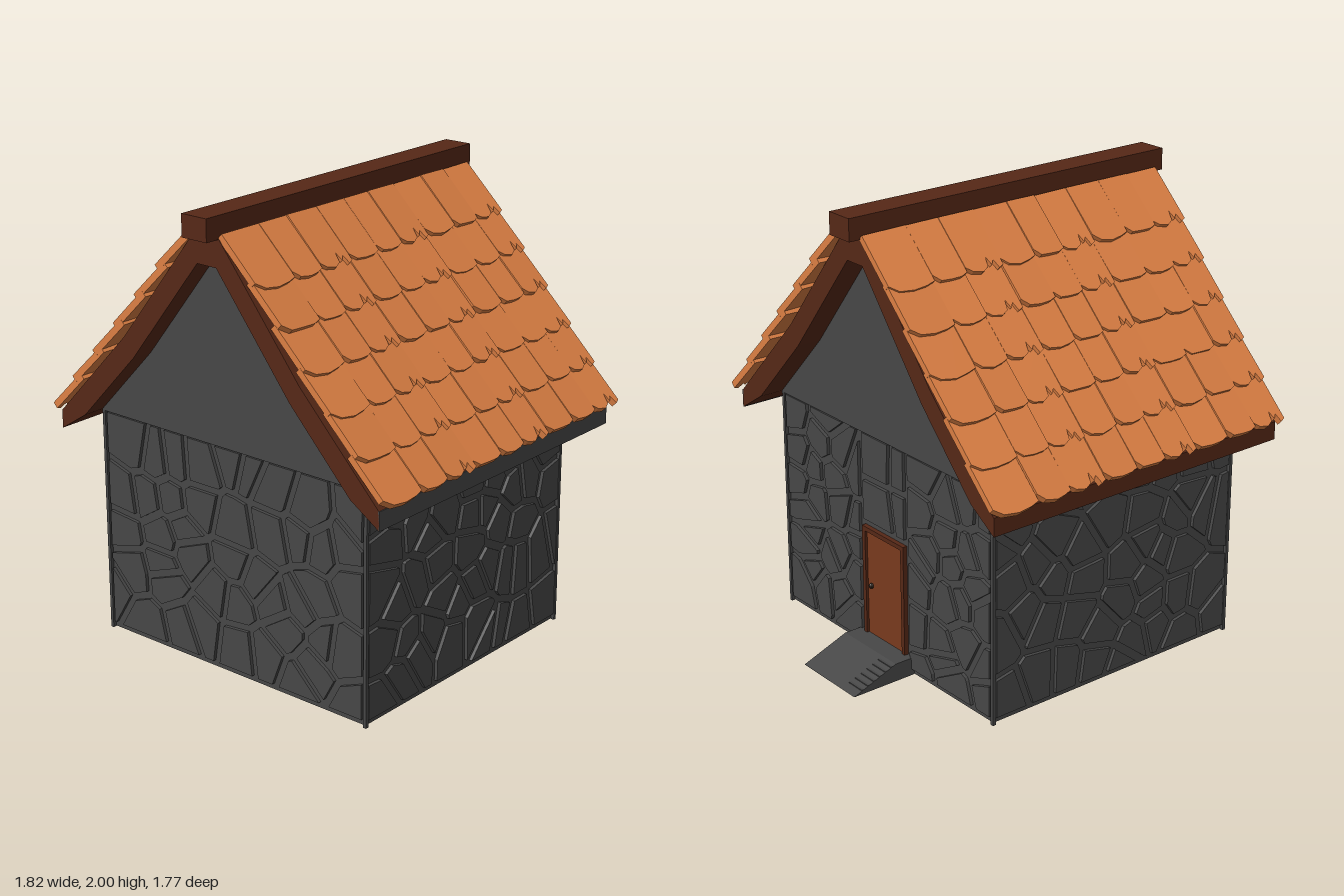
import * as THREE from 'three';
import { mergeGeometries } from 'three/addons/utils/BufferGeometryUtils.js';

const mat = (color) => new THREE.MeshStandardMaterial({ color, flatShading: true });
const STONE = mat(0x474747), WOOD = mat(0x562817), TILE = mat(0xdd8044), DOOR = mat(0x7a3a1e), IRON = mat(0x2a2018);

// small seeded random
let state = 7;
const rand = () => (state = (state * 16807) % 2147483647) / 2147483647;

const shapeOf = (pts) => new THREE.Shape(pts.map(([x, y]) => new THREE.Vector2(x, y)));
const extrude = (pts, depth) => new THREE.ExtrudeGeometry(shapeOf(pts), { depth, bevelEnabled: false });
const mirrored = (half) => [...half, ...half.map(([x, y]) => [-x, y]).reverse()];

function add(parent, name, geometry, material, x = 0, y = 0, z = 0) {
  const m = new THREE.Mesh(geometry, material);
  m.name = name;
  m.position.set(x, y, z);
  parent.add(m);
  return m;
}

// box given by its two extreme corners
const block = (parent, name, material, a, b) => add(parent, name,
  new THREE.BoxGeometry(b[0] - a[0], b[1] - a[1], b[2] - a[2]), material,
  (a[0] + b[0]) / 2, (a[1] + b[1]) / 2, (a[2] + b[2]) / 2);

// keep the part of a polygon where (p - o) . n <= 0
function clip(poly, ox, oy, nx, ny) {
  const out = [];
  poly.forEach((p, i) => {
    const q = poly[(i + 1) % poly.length];
    const dp = (p[0] - ox) * nx + (p[1] - oy) * ny, dq = (q[0] - ox) * nx + (q[1] - oy) * ny;
    if (dp <= 0) out.push(p);
    if ((dp < 0 && dq > 0) || (dp > 0 && dq < 0)) {
      const t = dp / (dp - dq);
      out.push([p[0] + (q[0] - p[0]) * t, p[1] + (q[1] - p[1]) * t]);
    }
  });
  return out;
}

// irregular raised stones filling a rectangle, separated by grooves
function stones(x0, y0, x1, y1, nx, ny) {
  const gap = 0.034, seeds = [], geos = [];
  const w = (x1 - x0) / nx, h = (y1 - y0) / ny;
  for (let j = 0; j < ny; j++) for (let i = 0; i < nx; i++) {
    seeds.push([x0 + (i + 0.5 + (rand() - 0.5) * 1.1) * w, y0 + (j + 0.5 + (rand() - 0.5) * 0.9) * h]);
  }
  for (const s of seeds) {
    let cell = [[x0, y0], [x1, y0], [x1, y1], [x0, y1]];
    for (const o of seeds) {
      if (o === s) continue;
      const dx = o[0] - s[0], dy = o[1] - s[1], d = Math.hypot(dx, dy), k = 0.5 - gap / 2 / d;
      cell = clip(cell, s[0] + dx * k, s[1] + dy * k, dx / d, dy / d);
    }
    if (cell.length > 2) geos.push(extrude(cell, 0.016));
  }
  return geos;
}

function stoneWall(parent, name, geos, x, z, turn) {
  add(parent, name, mergeGeometries(geos), STONE, x, 0, z).rotation.y = turn;
}

// one side of the roof covering, built for +x
function tileSide(name) {
  const seams = [0, 0.17, 0.33, 0.51, 0.68, 0.83, 1.0, 1.18, 1.34, 1.55];
  const rows = 6, first = 0.275, step = 0.191, geos = [];
  for (let r = 0; r < rows; r++) for (let c = 0; c < seams.length - 1; c++) {
    const w = seams[c + 1] - seams[c] - 0.002, l = r ? step + 0.06 : first, skew = (rand() - 0.5) * 0.012;
    // every third tile has a chipped lower edge
    const edge = c % 3 === 0
      ? [[w, l - 0.035], [w * 0.85, l - 0.01], [w * 0.6, l], [w * 0.42, l - 0.015], [w * 0.36, l - 0.06],
        [w * 0.3, l - 0.02], [w * 0.2, l - 0.04], [w * 0.14, l], [0, l - 0.01]]
      : [[w, l - 0.04], [w * 0.82, l - 0.008], [w * 0.5, l + skew], [w * 0.2, l - 0.004], [0, l - 0.015]];
    const g = extrude([[0, 0], [w, 0], ...edge], 0.03);
    g.rotateY((rand() - 0.5) * 0.06);
    g.rotateX(0.07 + rand() * 0.02);
    g.translate(seams[c] - 0.73, first + r * step - l, 0);
    geos.push(g);
  }
  const a = Math.atan2(0.93, 0.82);
  const place = new THREE.Matrix4().makeBasis(
    new THREE.Vector3(0, 0, 1),
    new THREE.Vector3(Math.cos(a), -Math.sin(a), 0),
    new THREE.Vector3(Math.sin(a), Math.cos(a), 0)).setPosition(0.06, 1.908, 0);
  const side = new THREE.Mesh(mergeGeometries(geos).applyMatrix4(place), TILE);
  side.name = name;
  return side;
}

export function createModel() {
  const house = new THREE.Group();
  house.name = 'stoneHouse';

  // wall core and plain gables
  block(house, 'wallCore', STONE, [-0.705, 0.003, -0.575], [0.705, 1.01, 0.705]);
  add(house, 'gables', extrude(mirrored([[0.72, 1.005], [0.72, 1.01], [0.42, 1.325], [0.05, 1.79]]), 1.31),
    STONE, 0, 0, -0.59);

  // stonework on the four walls
  stoneWall(house, 'frontStones', stones(-0.695, 0.03, 0.695, 1.0, 9, 5), 0, 0.704, 0);
  stoneWall(house, 'leftStones', stones(-0.635, 0.03, 0.635, 1.0, 9, 5), 0.704, 0.065, Math.PI / 2);
  stoneWall(house, 'rightStones', stones(-0.635, 0.03, 0.635, 1.0, 9, 5), -0.704, 0.065, -Math.PI / 2);
  stoneWall(house, 'backStones', [
    ...stones(-0.695, 0.03, -0.17, 1.0, 4, 6),
    ...stones(0.17, 0.03, 0.695, 1.0, 4, 6),
    ...stones(-0.14, 0.61, 0.14, 1.0, 2, 2),
  ], 0, -0.574, Math.PI);

  // corner strips that close the stonework
  for (const x of [-0.7125, 0.7125]) for (const z of [-0.5825, 0.7125]) {
    block(house, 'cornerStrip', STONE, [x - 0.0075, 0, z - 0.0075], [x + 0.0075, 1.01, z + 0.0075]);
  }

  // door with frame and knob
  block(house, 'door', DOOR, [-0.125, 0.07, -0.584], [0.125, 0.56, -0.57]);
  for (const s of [-1, 1]) {
    block(house, 'doorPost', WOOD, [s * 0.133 - 0.01, 0.07, -0.596], [s * 0.133 + 0.01, 0.56, -0.57]);
  }
  block(house, 'doorLintel', WOOD, [-0.143, 0.56, -0.596], [0.143, 0.58, -0.57]);
  add(house, 'doorKnob', new THREE.SphereGeometry(0.012, 8, 6), IRON, 0.095, 0.31, -0.588);

  // doorstep: landing with a ramp, ribbed along one edge
  const ramp = extrude([[0.575, 0], [0.885, 0], [0.67, 0.08], [0.575, 0.08]], 0.36);
  ramp.rotateY(Math.PI / 2);
  add(house, 'doorstep', ramp, STONE, -0.18, 0, 0);
  for (let i = 0; i < 6; i++) {
    const z = -0.69 - i * 0.03, y = 0.08 + (z + 0.67) * 0.372;
    block(house, 'stepRib', STONE, [-0.18, Math.max(0, y - 0.02), z - 0.006], [-0.09, y + 0.002, z + 0.008]);
  }

  // plate set in the floor
  block(house, 'floorPlate', WOOD, [0.0, 0, 0.27], [0.24, 0.01, 0.35]);

  // bent roof frame with overhanging eaves
  const inner = [[0.05, 1.79], [0.42, 1.325], [0.72, 1.01], [0.86, 0.92]];
  const outer = [[0.86, 1.0], [0.47, 1.405], [0.065, 1.91]];
  add(house, 'roofFrame', extrude(mirrored([...inner, ...outer]), 1.52), WOOD, 0, 0, -0.7);
  block(house, 'eaveBoard', STONE, [0.855, 0.92, -0.7], [0.864, 1.0, 0.82]);

  // tiles on both slopes
  house.add(tileSide('leftTiles'));
  const right = tileSide('rightTiles');
  right.rotation.y = Math.PI;
  right.position.z = 0.1;
  house.add(right);

  // ridge beam
  block(house, 'ridgeBeam', WOOD, [-0.065, 1.905, -0.77], [0.065, 2.0, 0.885]);

  return house;
}
